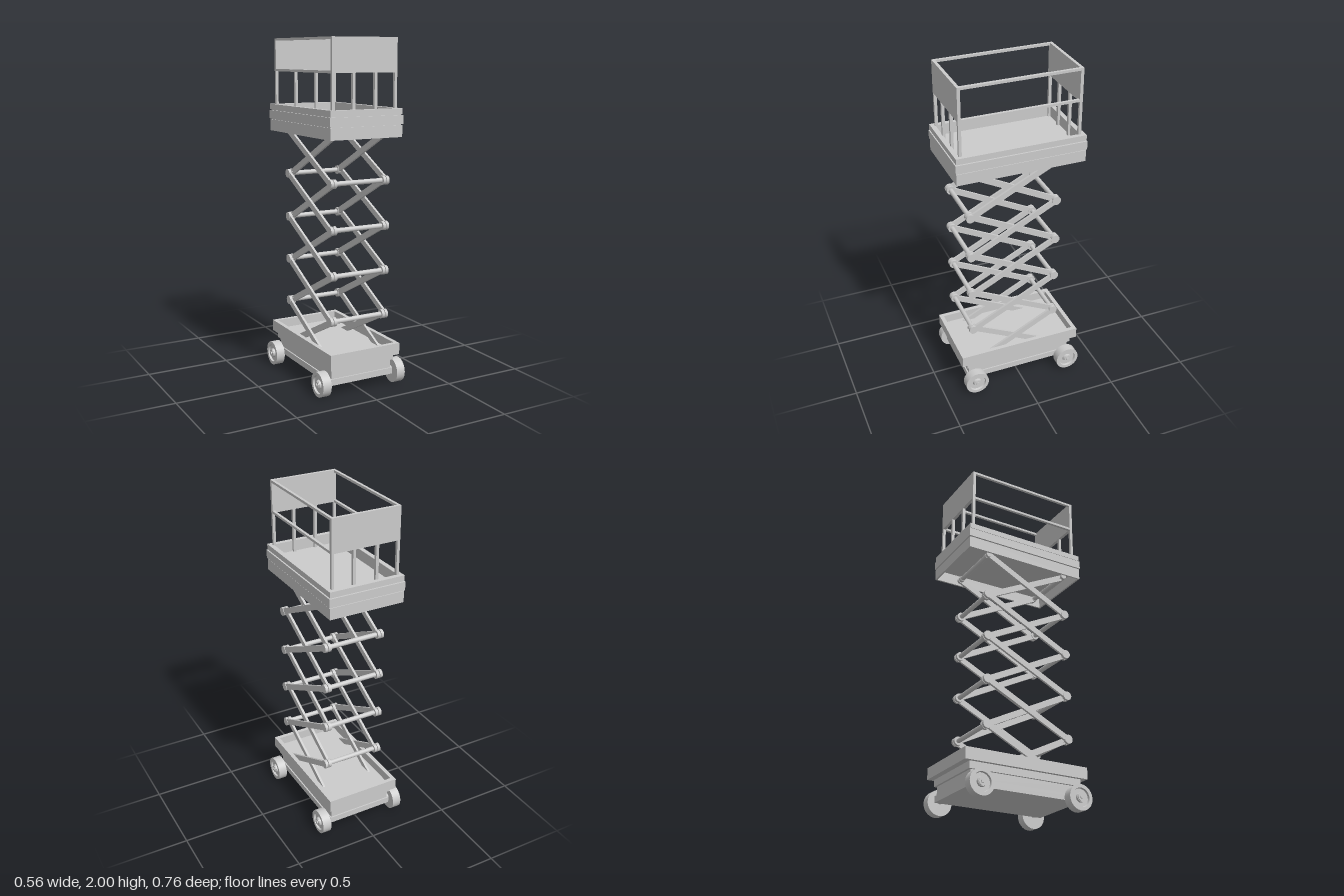
import * as THREE from 'three';

const material = new THREE.MeshStandardMaterial({ color: 0xcccccc });

export function createModel() {
  const model = new THREE.Group();

  function add(name, geometry, x = 0, y = 0, z = 0, parent = model) {
    const mesh = new THREE.Mesh(geometry, material);
    mesh.name = name;
    mesh.position.set(x, y, z);
    parent.add(mesh);
    return mesh;
  }

  function box(name, w, h, d, x, y, z) {
    return add(name, new THREE.BoxGeometry(w, h, d), x, y, z);
  }

  // Box spanning y0..y1 with half sizes hx, hz
  function slab(name, hx, hz, y0, y1) {
    return box(name, hx * 2, y1 - y0, hz * 2, 0, (y0 + y1) / 2, 0);
  }

  // Rectangular wall ring spanning y0..y1, open in the middle
  function ring(name, hx, hz, wall, y0, y1) {
    const rect = (Type, a, b) => {
      const p = new Type();
      p.moveTo(-a, -b).lineTo(a, -b).lineTo(a, b).lineTo(-a, b).closePath();
      return p;
    };
    const shape = rect(THREE.Shape, hx, hz);
    shape.holes.push(rect(THREE.Path, hx - wall, hz - wall));
    const geometry = new THREE.ExtrudeGeometry(shape, { depth: y1 - y0, bevelEnabled: false });
    geometry.rotateX(-Math.PI / 2);
    return add(name, geometry, 0, y0, 0);
  }

  // Round bar along x from x0 to x1
  function barX(name, x0, x1, y, z, radius) {
    const geometry = new THREE.CylinderGeometry(radius, radius, Math.abs(x1 - x0), 24);
    geometry.rotateZ(Math.PI / 2);
    return add(name, geometry, (x0 + x1) / 2, y, z);
  }

  // Chassis and lower tray
  slab('chassisBottom', 0.204, 0.34, 0.065, 0.102);
  slab('chassisMiddle', 0.196, 0.332, 0.102, 0.153);
  slab('chassisTop', 0.208, 0.345, 0.153, 0.193);
  slab('trayFloor', 0.22, 0.37, 0.193, 0.207);
  ring('trayWall', 0.227, 0.379, 0.025, 0.193, 0.26);

  // Wheels with recessed faces, hubs and stub axles
  const wheelProfile = [
    [0, -0.027], [0.0725, -0.027], [0.0725, 0.026], [0.053, 0.026],
    [0.05, 0.014], [0.027, 0.014], [0.025, 0.026], [0, 0.026],
  ];
  // Repeat each profile point so the edges stay crisp
  const wheelPoints = wheelProfile.flatMap(([r, h]) => [new THREE.Vector2(r, h), new THREE.Vector2(r, h)]);
  const wheelGeometry = new THREE.LatheGeometry(wheelPoints, 40);
  for (const z of [0.302, -0.302]) {
    for (const side of [1, -1]) {
      barX('stubAxle', side * 0.19, side * 0.23, 0.083, z, 0.018);
      const wheel = new THREE.Group();
      wheel.name = 'wheel';
      wheel.position.set(side * 0.245, 0.0725, z);
      wheel.rotation.z = -side * Math.PI / 2;
      add('tyre', wheelGeometry, 0, 0, 0, wheel);
      add('hubCap', new THREE.CylinderGeometry(0.022, 0.022, 0.008, 24), 0, 0.027, 0, wheel);
      add('hubBolt', new THREE.CylinderGeometry(0.01, 0.01, 0.01, 16), 0, 0.032, 0, wheel);
      model.add(wheel);
    }
  }

  // Scissor arms: five crossed pairs on each side
  const zFront = 0.29, zBack = -0.23, step = 0.2615, firstY = 0.422;
  const armLength = Math.hypot(zFront - zBack, step);
  const armAngle = Math.atan2(step, zFront - zBack);
  for (let i = 0; i < 5; i++) {
    const y = firstY + (i - 0.5) * step;
    for (const side of [1, -1]) {
      for (const [x, tilt] of [[0.178, 1], [0.159, -1]]) {
        const arm = box('scissorArm', 0.014, 0.035, armLength, side * x, y, (zFront + zBack) / 2);
        arm.rotation.x = tilt * armAngle;
      }
    }
  }

  // Cross rods, with a pair of joint discs at each end (smaller under the platform)
  for (let i = 0; i < 5; i++) {
    const y = firstY + i * step;
    const discRadius = i < 4 ? 0.026 : 0.017;
    for (const z of [zFront, zBack]) {
      barX('crossRod', -0.18, 0.18, y, z, 0.014);
      for (const side of [1, -1]) {
        barX('innerJointDisc', side * 0.149, side * 0.167, y, z, discRadius);
        barX('outerJointDisc', side * 0.171, side * 0.188, y, z, discRadius);
      }
    }
  }

  // Platform: hollow skirt below, shallow tray above, thin grooves between the bands
  ring('platformSkirt', 0.227, 0.378, 0.01, 1.455, 1.522);
  slab('platformFloor', 0.22, 0.371, 1.52, 1.55);
  ring('platformCore', 0.221, 0.372, 0.022, 1.52, 1.6);
  ring('platformBand', 0.231, 0.382, 0.012, 1.527, 1.577);
  ring('platformRim', 0.227, 0.378, 0.028, 1.582, 1.614);

  // Guard rails, posts and end panels
  const railX = 0.197, railZ = 0.345, floorY = 1.55;
  for (const side of [1, -1]) {
    for (const y of [1.815, 1.993]) {
      box('sideRail', 0.016, 0.014, railZ * 2, side * railX, y, 0);
    }
    for (const end of [1, -1]) {
      box('cornerPost', 0.016, 2 - floorY, 0.017, side * railX, (2 + floorY) / 2, end * railZ);
      box('middlePost', 0.017, 1.82 - floorY, 0.017, side * 0.069, (1.82 + floorY) / 2, end * railZ);
    }
    box('endPanel', 0.41, 0.19, 0.018, 0, 1.905, side * railZ);
  }

  return model;
}
